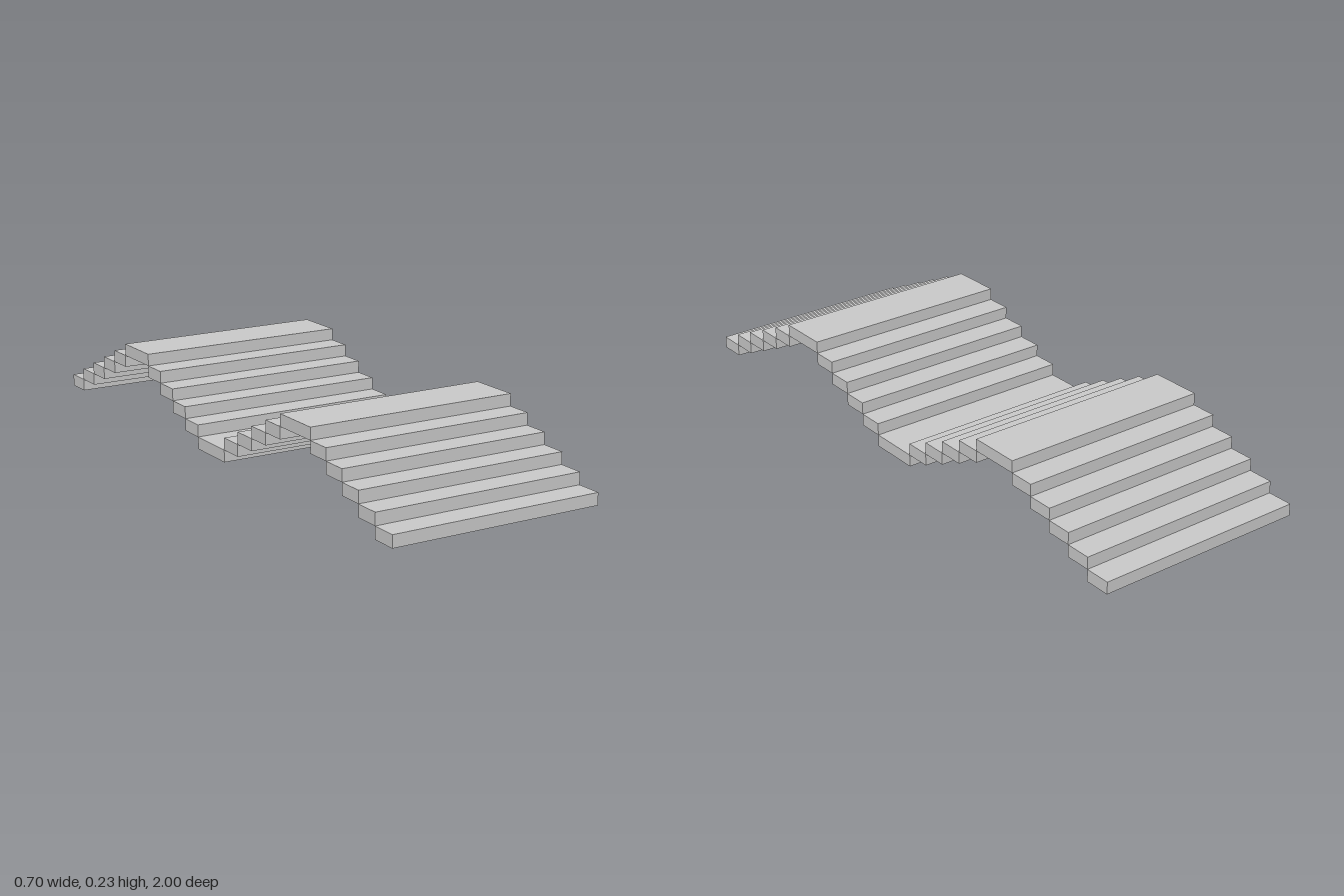
import * as THREE from 'three';

// A strip of two stepped humps: each flight climbs six treads, then descends six.
const WIDTH = 0.7;
const LEVELS = 6;
const FLIGHTS = 4;
const COUNT = LEVELS * FLIGHTS;
const DEPTH = 2 / COUNT;
const RISE = 0.2333 / LEVELS;

export function createModel() {
  const model = new THREE.Group();
  model.name = 'steppedHumps';
  const material = new THREE.MeshStandardMaterial({ color: 0xcccccc, flatShading: true });
  const treadGeometry = new THREE.BoxGeometry(WIDTH, RISE, DEPTH);

  for (let f = 0; f < FLIGHTS; f++) {
    const rising = f % 2 === 0;
    const flight = new THREE.Group();
    flight.name = (rising ? 'risingFlight' : 'fallingFlight') + (Math.floor(f / 2) + 1);
    for (let i = 0; i < LEVELS; i++) {
      // Treads run from the front edge to the back edge
      const level = rising ? i : LEVELS - 1 - i;
      const tread = new THREE.Mesh(treadGeometry, material);
      tread.name = 'tread' + (i + 1);
      tread.position.set(0, (level + 0.5) * RISE, 1 - (f * LEVELS + i + 0.5) * DEPTH);
      flight.add(tread);
    }
    model.add(flight);
  }
  return model;
}
